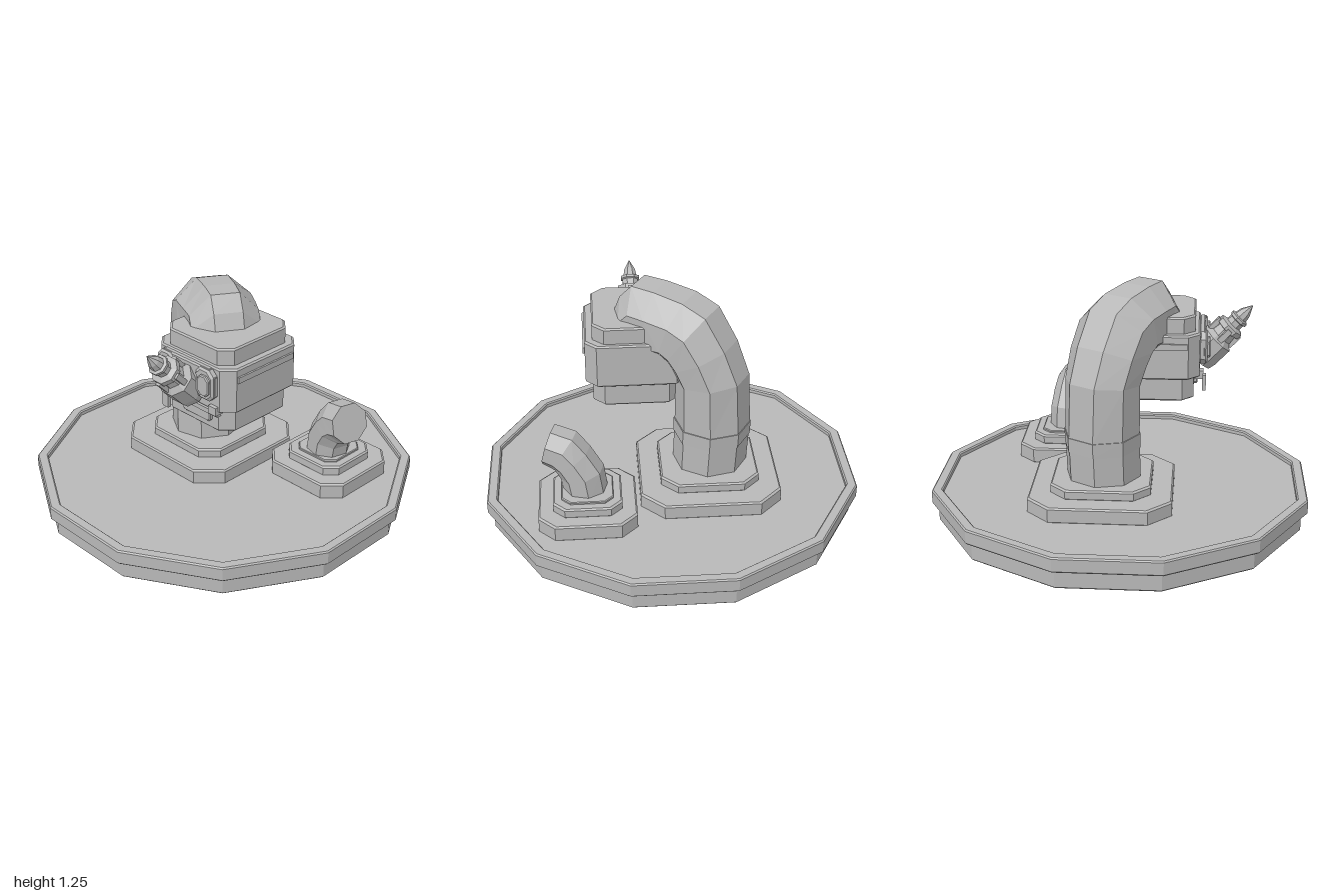
import * as THREE from 'three';

const grey = new THREE.MeshStandardMaterial({ color: 0xb8b8b8 });
grey.name = 'grey';

// Flat-shaded skin over rings of points, closed at both ends
function loft(rings) {
  const pos = [];
  const tri = (a, b, c) => { for (const p of [a, b, c]) pos.push(p.x, p.y, p.z); };
  const n = rings[0].length;
  for (let i = 0; i + 1 < rings.length; i++) {
    for (let j = 0; j < n; j++) {
      const k = (j + 1) % n, lo = rings[i], hi = rings[i + 1];
      tri(lo[j], lo[k], hi[k]);
      tri(lo[j], hi[k], hi[j]);
    }
  }
  const first = rings[0], last = rings[rings.length - 1];
  for (let j = 1; j + 1 < n; j++) {
    tri(first[0], first[j + 1], first[j]);
    tri(last[0], last[j], last[j + 1]);
  }
  const geo = new THREE.BufferGeometry();
  geo.setAttribute('position', new THREE.Float32BufferAttribute(pos, 3));
  geo.computeVertexNormals();
  return geo;
}

// Regular polygon stack around y; profile holds [apothem, y]
function polyStack(profile, sides) {
  return loft(profile.map(([r, y]) => Array.from({ length: sides }, (_, j) => {
    const a = (j + 0.5) * 2 * Math.PI / sides, R = r / Math.cos(Math.PI / sides);
    return new THREE.Vector3(Math.sin(a) * R, y, Math.cos(a) * R);
  })));
}

// Block with cut corners and a fine bevel on its top and bottom edges
function block(hx, hz, cut, y0, y1, bevel = 0.008) {
  const ring = (inset, y) => {
    const x = hx - inset, z = hz - inset, c = cut;
    return [[x - c, z], [x, z - c], [x, c - z], [x - c, -z], [c - x, -z], [-x, c - z], [-x, z - c], [c - x, z]]
      .map(([px, pz]) => new THREE.Vector3(px, y, pz));
  };
  return loft([ring(bevel, y0), ring(0, y0 + bevel), ring(0, y1 - bevel), ring(bevel, y1)]);
}

// Bent eight-sided arm; rows hold [outer s, outer y, inner s, inner y, half width]
function bentArm(x, z, angle, rows) {
  const ux = Math.cos(angle), uz = Math.sin(angle);
  return loft(rows.map(([os, oy, is, iy, w]) => Array.from({ length: 8 }, (_, j) => {
    const a = (j + 0.5) * Math.PI / 4, k = 1 / Math.cos(Math.PI / 8);
    const c = Math.cos(a) * k / 2, side = Math.sin(a) * k * w;
    const s = (os + is) / 2 + (is - os) * c, y = (oy + iy) / 2 + (iy - oy) * c;
    return new THREE.Vector3(x + ux * s + uz * side, y, z + uz * s - ux * side);
  })));
}

export function createModel() {
  const model = new THREE.Group();
  const add = (name, geo, x = 0, y = 0, z = 0, parent = model) => {
    const mesh = new THREE.Mesh(geo, grey);
    mesh.name = name;
    mesh.position.set(x, y, z);
    parent.add(mesh);
    return mesh;
  };

  // Twelve-sided base with a raised rim
  add('baseFoot', polyStack([[0.96, 0], [0.967, 0.007], [0.967, 0.105]], 12));
  add('baseTray', polyStack([[0.992, 0.1], [1, 0.108], [1, 0.174], [0.993, 0.181],
    [0.95, 0.181], [0.943, 0.174], [0.943, 0.155]], 12));

  // Stepped plinths
  add('largePlinth', block(0.375, 0.375, 0.12, 0.15, 0.235), -0.195, 0, -0.085);
  add('largePlinthStep', block(0.262, 0.262, 0.085, 0.23, 0.285), -0.195, 0, -0.085);
  add('smallPlinth', block(0.257, 0.257, 0.085, 0.15, 0.24), 0.462, 0, -0.343);
  add('smallPlinthStep', block(0.18, 0.18, 0.06, 0.235, 0.29), 0.462, 0, -0.343);
  add('smallPlinthCollar', block(0.135, 0.135, 0.045, 0.285, 0.302, 0.004), 0.462, 0, -0.343);

  // Tall arm curling over the head
  add('tallArm', bentArm(-0.21, -0.08, 0.55, [
    [-0.185, 0.28, 0.185, 0.28, 0.185],
    [-0.2, 0.53, 0.175, 0.52, 0.185],
    [-0.185, 0.82, 0.17, 0.78, 0.185],
    [-0.11, 1.0, 0.2, 0.84, 0.195],
    [0, 1.17, 0.22, 0.86, 0.2],
    [0.13, 1.225, 0.24, 0.88, 0.2],
    [0.3, 1.25, 0.3, 0.86, 0.19],
    [0.43, 1.255, 0.33, 0.86, 0.18],
    [0.5, 1.18, 0.35, 0.85, 0.18],
    [0.55, 1.06, 0.36, 0.84, 0.18]]));
  add('armCuff', bentArm(-0.21, -0.08, 0.55, [
    [-0.2, 0.45, 0.183, 0.45, 0.188],
    [-0.204, 0.53, 0.18, 0.53, 0.19]]));

  // Short arm ending in a flat stump
  add('shortArm', bentArm(0.47, -0.33, 0.275, [
    [-0.11, 0.28, 0.105, 0.28, 0.108],
    [-0.09, 0.42, 0.12, 0.36, 0.108],
    [-0.02, 0.53, 0.15, 0.41, 0.108],
    [0.05, 0.61, 0.18, 0.425, 0.106],
    [0.165, 0.64, 0.215, 0.44, 0.104]]));

  // Head
  const head = new THREE.Group();
  head.name = 'head';
  head.position.set(0.18, 0, 0.15);
  model.add(head);
  add('headBody', block(0.268, 0.265, 0.06, 0.77, 1.012), 0, 0, 0, head);
  add('headTop', block(0.228, 0.24, 0.06, 1.0, 1.1), 0, 0, 0, head);
  add('headBottom', block(0.23, 0.235, 0.06, 0.64, 0.78), 0, 0, 0, head);
  for (const s of [-1, 1]) {
    add('sideBar', new THREE.BoxGeometry(0.02, 0.032, 0.39), s * 0.268, 0.953, 0.005, head);
    add('frontPad', block(0.062, 0.085, 0.03, 0, 0.045, 0.01), s * 0.137, 0.92, 0.26, head).rotation.x = Math.PI / 2;
    add('frontPadRaised', block(0.038, 0.055, 0.02, 0, 0.02, 0.005), s * 0.145, 0.92, 0.3, head).rotation.x = Math.PI / 2;
    add('clip', new THREE.BoxGeometry(0.05, 0.045, 0.05), s * 0.175, 0.78, 0.26, head);
  }
  add('frontPlate', block(0.2, 0.088, 0.04, 0, 0.035, 0.008), 0, 0.92, 0.26, head).rotation.x = Math.PI / 2;
  add('lowerPanel', new THREE.BoxGeometry(0.33, 0.025, 0.025), 0.03, 0.755, 0.255, head);
  add('lowerFlap', block(0.1, 0.03, 0.012, 0, 0.03, 0.005), 0.03, 0.715, 0.225, head).rotation.x = Math.PI / 2;
  add('lowerTab', new THREE.BoxGeometry(0.04, 0.085, 0.02), -0.15, 0.725, 0.29, head);

  // Pointed nozzle tilted upward
  const nozzle = new THREE.Group();
  nozzle.name = 'nozzle';
  nozzle.position.set(0, 0.83, 0.27);
  nozzle.rotation.x = 0.77;
  head.add(nozzle);
  add('nozzleBarrel', polyStack([[0.08, -0.02], [0.087, 0.02], [0.087, 0.13], [0.06, 0.155],
    [0.055, 0.2], [0.07, 0.205], [0.07, 0.235], [0.042, 0.245], [0.042, 0.275], [0.05, 0.28],
    [0.05, 0.295], [0.036, 0.3], [0.03, 0.335], [0.002, 0.39]], 8), 0, 0, 0, nozzle);
  for (let i = 0; i < 4; i++) {
    const a = i * Math.PI / 2;
    const lug = add('nozzleLug', new THREE.BoxGeometry(0.03, 0.08, 0.025),
      Math.sin(a) * 0.07, 0.18, Math.cos(a) * 0.07, nozzle);
    lug.rotation.y = a;
  }
  return model;
}
